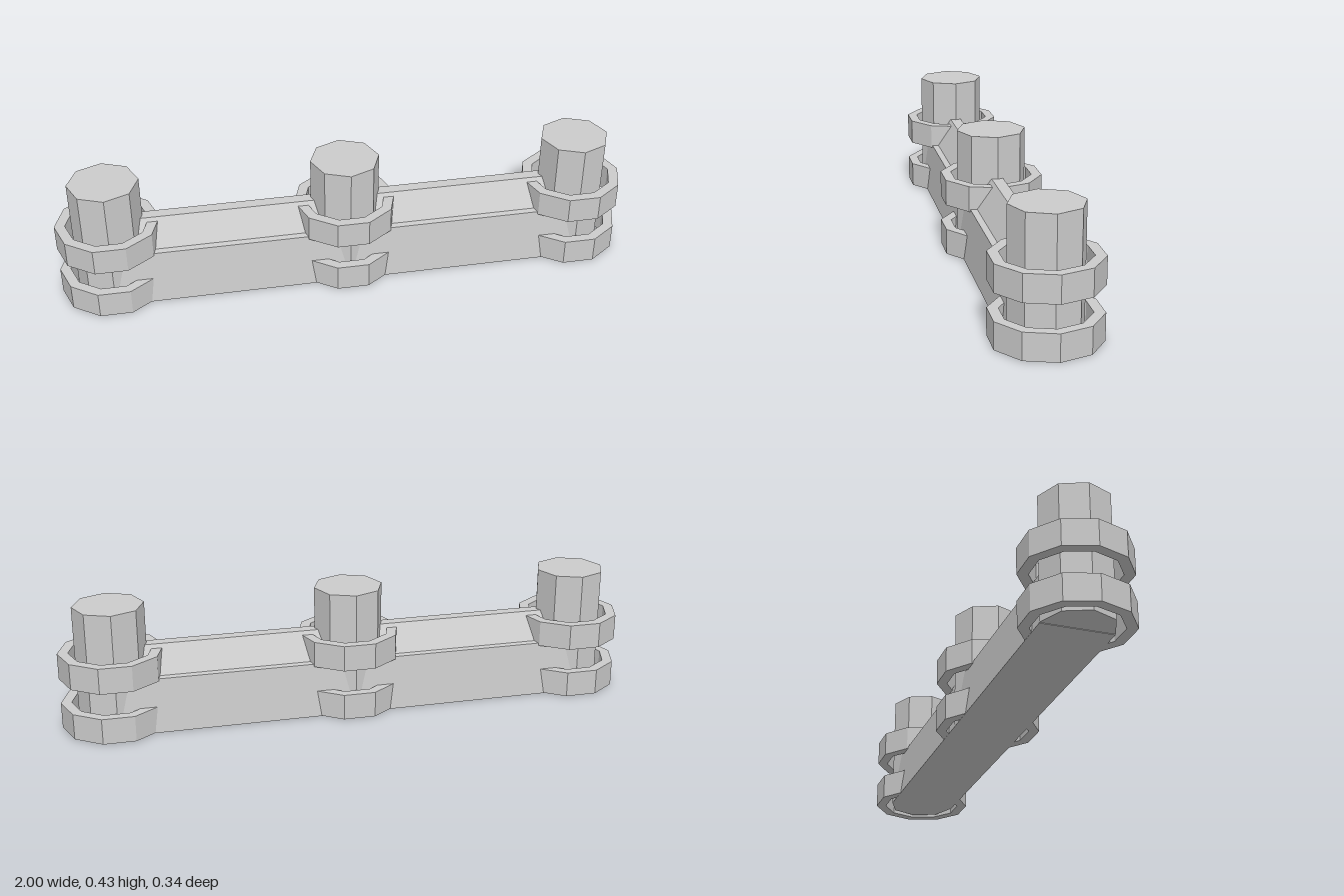
import * as THREE from 'three';

const material = new THREE.MeshStandardMaterial({ color: 0xcccccc, flatShading: true });

function part(name, geometry) {
  const mesh = new THREE.Mesh(geometry, material);
  mesh.name = name;
  return mesh;
}

// Decagonal collar lying flat, with a corner on the x axis
function collarGeometry(outer, inner, height) {
  const ring = (r) => Array.from({ length: 10 }, (_, i) => {
    const a = (i * Math.PI) / 5;
    return new THREE.Vector2(r * Math.cos(a), r * Math.sin(a));
  });
  const shape = new THREE.Shape(ring(outer));
  shape.holes.push(new THREE.Path(ring(inner)));
  const geometry = new THREE.ExtrudeGeometry(shape, { depth: height, bevelEnabled: false });
  return geometry.rotateX(-Math.PI / 2);
}

// Wall section: leaning sides, a small ledge, then a sloped cap
function wallGeometry(length) {
  const half = [[0.12, 0], [0.1, 0.188], [0.078, 0.19], [0.02, 0.283]];
  const points = [...half, ...half.map(([x, y]) => [-x, y]).reverse()];
  const shape = new THREE.Shape(points.map(([x, y]) => new THREE.Vector2(x, y)));
  const geometry = new THREE.ExtrudeGeometry(shape, { depth: length, bevelEnabled: false });
  return geometry.translate(0, 0, -length / 2).rotateY(Math.PI / 2);
}

export function createModel() {
  const model = new THREE.Group();
  model.name = 'wall';
  model.add(part('wallBody', wallGeometry(1.64)));

  const postHeight = 0.428;
  const postGeometry = new THREE.CylinderGeometry(0.12, 0.12, postHeight, 8);
  const collar = collarGeometry(0.178, 0.142, 0.09);

  // Octagonal posts, each with a lower and an upper collar
  ['right', 'middle', 'left'].forEach((side, i) => {
    const tower = new THREE.Group();
    tower.name = `${side}Tower`;
    tower.position.x = (i - 1) * 0.822;
    const post = part('post', postGeometry);
    post.position.y = 0.002 + postHeight / 2;
    const lower = part('lowerCollar', collar);
    lower.position.y = 0.001;
    const upper = part('upperCollar', collar);
    upper.position.y = 0.18;
    tower.add(post, lower, upper);
    model.add(tower);
  });

  return model;
}
